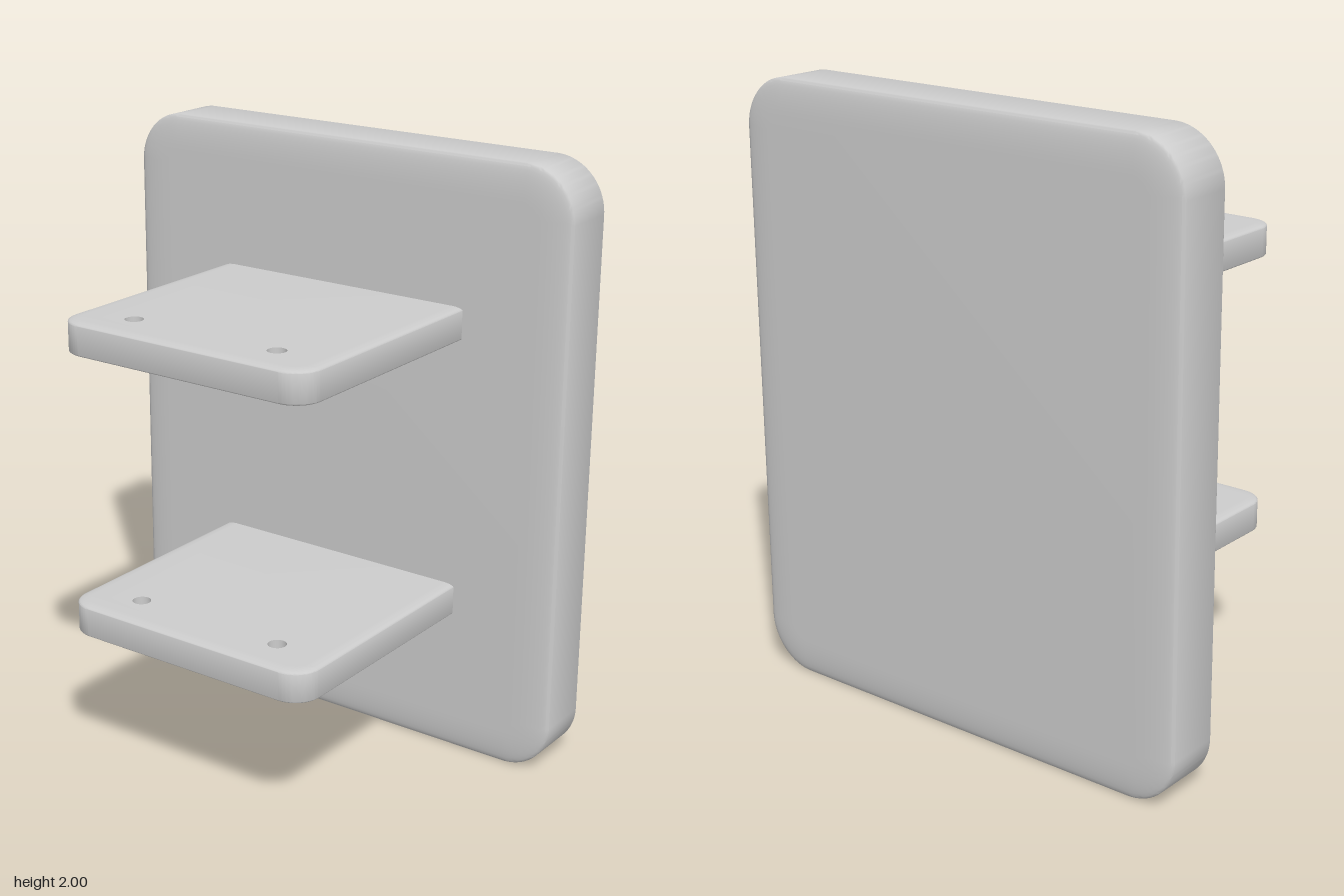
import * as THREE from 'three';
import { toCreasedNormals } from 'three/addons/utils/BufferGeometryUtils.js';

const HOLE_RADIUS = 0.03;

// Rounded rectangle outline centred on the origin
function roundedRect(width, height, r) {
  const x = width / 2 - r, y = height / 2 - r, q = Math.PI / 2;
  const shape = new THREE.Shape();
  [[x, y], [-x, y], [-x, -y], [x, -y]].forEach(([cx, cy], i) =>
    shape.absarc(cx, cy, r, i * q, (i + 1) * q, false));
  shape.closePath();
  return shape;
}

// Slab with rounded corners, a soft elliptical edge and straight drilled holes
function slab({ width, height, depth, radius, edge, edgeDepth, holes = [] }) {
  const shape = roundedRect(width - 2 * edge, height - 2 * edge, radius - edge);
  for (const [x, y] of holes) {
    shape.holes.push(new THREE.Path().absarc(x, y, edge + 0.015, 0, Math.PI * 2, true));
  }
  const geometry = new THREE.ExtrudeGeometry(shape, {
    depth: depth - 2 * edgeDepth, curveSegments: 12,
    bevelSize: edge, bevelThickness: edgeDepth, bevelSegments: 8,
  });
  geometry.translate(0, 0, edgeDepth - depth / 2);

  // Pull the bevelled hole walls to one constant radius
  const p = geometry.attributes.position;
  for (let i = 0; i < p.count; i++) {
    for (const [x, y] of holes) {
      const dx = p.getX(i) - x, dy = p.getY(i) - y, d = Math.hypot(dx, dy);
      if (d < edge + 0.02) {
        p.setXY(i, x + dx / d * HOLE_RADIUS, y + dy / d * HOLE_RADIUS);
        break;
      }
    }
  }
  return toCreasedNormals(geometry, 0.6);
}

export function createModel() {
  const model = new THREE.Group();
  const material = new THREE.MeshStandardMaterial({ color: 0xcccccc });

  // Upright back panel
  const panel = new THREE.Mesh(slab({
    width: 1.66, height: 2, depth: 0.22, radius: 0.17, edge: 0.12, edgeDepth: 0.02,
  }), material);
  panel.name = 'backPanel';
  panel.position.set(0, 1, -0.42);
  model.add(panel);

  // Two shelves set into the panel, each with two holes near the front
  const back = -0.45, front = 0.53, centre = (front + back) / 2;
  const shelfGeometry = slab({
    width: 0.93, height: front - back, depth: 0.11, radius: 0.09, edge: 0.04, edgeDepth: 0.01,
    holes: [-0.27, 0.27].map((x) => [x, 0.39 - centre]),
  }).rotateX(Math.PI / 2);
  for (const [name, y] of [['lowerShelf', 0.535], ['upperShelf', 1.47]]) {
    const shelf = new THREE.Mesh(shelfGeometry, material);
    shelf.name = name;
    shelf.position.set(0, y, centre);
    model.add(shelf);
  }
  return model;
}
